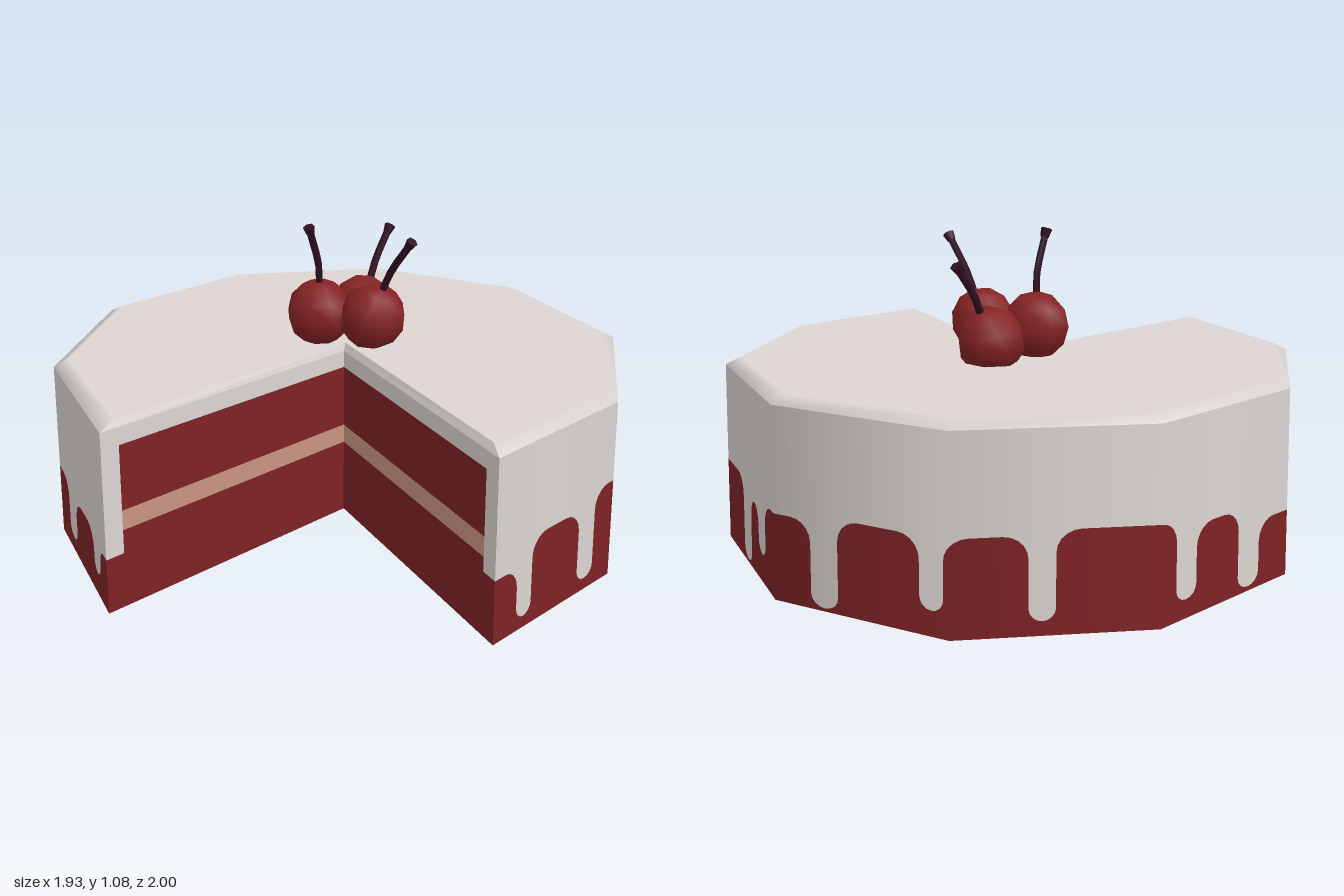
import * as THREE from 'three';

const mat = (name, color) => Object.assign(new THREE.MeshStandardMaterial({ color }), { name });

// Outline of the ten-sided cake with two sides cut away, plus the inner point of the cut
const RING = [[0.02, 0.995], [0.595, 0.81], [0.965, 0.31], [0.965, -0.31], [0.59, -0.81],
  [0, -1], [-0.59, -0.808], [-0.95, -0.305], [-0.968, 0.305]];
const APEX = [0.015, 0];
const WALL = 0.62, TOP = 0.645;

// Icing drips: start and end along the outline (in sides), lowest height
const DRIPS = [[0.18, 0.3, 0.04], [0.7, 0.84, 0.04], [1.59, 1.73, 0.07], [2.36, 2.52, 0.01],
  [2.68, 2.82, 0.095], [3.22, 3.38, 0.01], [3.84, 3.97, 0.08], [4.37, 4.5, 0.045],
  [5.11, 5.26, 0.06], [5.59, 5.76, 0.015], [6.35, 6.48, 0.03], [7.2, 7.36, 0.05], [7.74, 7.86, 0.08]];
// Height of each arch between the drips
const ARCHES = [0.22, 0.3, 0.345, 0.285, 0.24, 0.28, 0.3, 0.305, 0.32, 0.28, 0.22, 0.25, 0.22, 0.19];

// Point on the wall, with a soft outward normal
function wallPoint(s, y) {
  const i = Math.min(7, Math.floor(s)), f = s - i, k = 1 - 0.015 * y / WALL;
  const x = RING[i][0] * (1 - f) + RING[i + 1][0] * f;
  const z = RING[i][1] * (1 - f) + RING[i + 1][1] * f;
  const l = Math.hypot(x, z);
  return { p: [x * k, y, z * k], n: [x / l, 0, z / l] };
}

// Mesh from quads; corners without normals are shaded flat
function quadMesh(name, material, quads) {
  const pos = [], nor = [];
  for (const q of quads) {
    for (const tri of [[0, 1, 2], [0, 2, 3]]) {
      const c = tri.map((i) => q[i]);
      const [a, b, d] = c.map((v) => new THREE.Vector3(...v.p));
      const flat = b.sub(a).cross(d.sub(a));
      if (flat.length() < 1e-9) continue;
      flat.normalize();
      for (const v of c) {
        pos.push(...v.p);
        nor.push(...(v.n || flat.toArray()));
      }
    }
  }
  const g = new THREE.BufferGeometry();
  g.setAttribute('position', new THREE.Float32BufferAttribute(pos, 3));
  g.setAttribute('normal', new THREE.Float32BufferAttribute(nor, 3));
  const mesh = new THREE.Mesh(g, material);
  mesh.name = name;
  return mesh;
}

// Lower edge of the icing: rounded arches and round-ended drips
function dripLine() {
  const pts = [];
  ARCHES.forEach((h, i) => {
    const left = i ? DRIPS[i - 1][1] : 0;
    const right = i < DRIPS.length ? DRIPS[i][0] : 8;
    const rx = Math.min(0.12, (right - left) / 2), ry = 0.07;
    for (let j = 0; j <= 5; j++) {
      const a = j / 5 * Math.PI / 2;
      pts.push(i ? [left + rx * (1 - Math.cos(a)), h - ry * (1 - Math.sin(a))] : [0, h]);
    }
    if (i === DRIPS.length) return void pts.push([8, h]);
    for (let j = 0; j <= 5; j++) {
      const a = j / 5 * Math.PI / 2;
      pts.push([right - rx * (1 - Math.sin(a)), h - ry * (1 - Math.cos(a))]);
    }
    const [s0, s1, low] = DRIPS[i], r = (s1 - s0) / 2;
    for (let j = 0; j <= 8; j++) {
      const a = j / 8 * Math.PI;
      pts.push([s0 + r * (1 - Math.cos(a)), low + 0.04 * (1 - Math.sin(a))]);
    }
  });
  // Add a point wherever the line turns a corner of the cake
  const out = [pts[0]];
  for (let i = 1; i < pts.length; i++) {
    const [s0, y0] = pts[i - 1], [s1, y1] = pts[i], k = Math.floor(s0) + 1;
    if (k < s1 - 1e-6) out.push([k, y0 + (y1 - y0) * (k - s0) / (s1 - s0)]);
    out.push(pts[i]);
  }
  return out;
}

export function createModel() {
  const icing = mat('icing', 0xdcd5d2);
  const sponge = mat('sponge', 0x7e2225);
  const cream = mat('cream', 0xc8937f);
  const cherryRed = mat('cherry', 0x852224);
  const stemDark = mat('stem', 0x2f0f22);
  const model = new THREE.Group();
  model.name = 'cake';

  // Outer wall, split along the drip line
  const upper = [], lower = [], line = dripLine();
  for (let i = 1; i < line.length; i++) {
    const [s0, y0] = line[i - 1], [s1raw, y1] = line[i];
    if (s1raw - s0 < 1e-6) continue;
    // keep both ends on the same side of a corner
    const a = wallPoint(s0, y0), b = wallPoint(s1raw, y1);
    upper.push([a, b, wallPoint(s1raw, WALL), wallPoint(s0, WALL)]);
    lower.push([wallPoint(s0, 0), wallPoint(s1raw, 0), b, a]);
  }
  model.add(quadMesh('icingWall', icing, upper), quadMesh('spongeWall', sponge, lower));

  // Top icing with a soft bevel at the rim
  const outer = [{ p: [APEX[0], WALL, APEX[1]] }], inner = [{ p: [0.027, TOP, -0.012], n: [0, 1, 0] }];
  RING.forEach(([x, z], i) => {
    const o = wallPoint(i, WALL);
    o.n = [o.n[0] * 0.85, 0.53, o.n[2] * 0.85];
    outer.push(o);
    const p = i === 0 ? [0.034, TOP, 0.925] : i === 8 ? [-0.9, TOP, 0.272] : [x * 0.935, TOP, z * 0.935];
    inner.push({ p, n: [0, 1, 0] });
  });
  const bevel = [], top = [];
  for (let i = 0; i < 10; i++) {
    const j = (i + 1) % 10, q = [outer[i], outer[j], inner[j], inner[i]];
    const cut = i === 0 || i === 9;
    bevel.push(cut ? q.map((v) => ({ p: v.p })) : q);
    if (!cut) top.push([inner[0], inner[i], inner[j], inner[0]]);
  }
  model.add(quadMesh('icingRim', icing, bevel), quadMesh('icingTop', icing, top));

  // Underside
  const centre = { p: [APEX[0], 0, APEX[1]] };
  const base = RING.slice(1).map((_, i) =>
    [centre, { p: wallPoint(i + 1, 0).p }, { p: wallPoint(i, 0).p }, centre]);
  model.add(quadMesh('underside', sponge, base));

  // Two cut faces, showing the layers
  for (const [name, s, edge] of [['rightCut', 0, 0.22], ['leftCut', 8, 0.19]]) {
    const at = (t, y) => {
      const w = wallPoint(s, y).p;
      return { p: [APEX[0] + (w[0] - APEX[0]) * t, y, APEX[1] + (w[2] - APEX[1]) * t] };
    };
    const quad = (t0, y0, t1, y1) => {
      const [a, b] = s ? [t1, t0] : [t0, t1];
      return [at(a, y0), at(b, y0), at(b, y1), at(a, y1)];
    };
    const E = 0.935;
    model.add(
      quadMesh(name + 'Sponge', sponge, [quad(0, 0, 1, edge), quad(0, edge, E, 0.27), quad(0, 0.338, E, 0.56)]),
      quadMesh(name + 'Cream', cream, [quad(0, 0.27, E, 0.338)]),
      quadMesh(name + 'Icing', icing, [quad(E, edge, 1, 0.56), quad(0, 0.56, 1, WALL)]));
  }

  // Cherries with bent stems
  const cherries = [
    { c: [-0.035, 0.745, -0.09], stem: [[-0.04, 0.83, -0.085], [-0.045, 0.92, -0.075], [-0.09, 1.055, -0.05]] },
    { c: [0.105, 0.748, 0.04], stem: [[0.12, 0.83, 0.07], [0.14, 0.92, 0.105], [0.17, 1.03, 0.18]] },
    { c: [0.16, 0.718, -0.145], stem: [[0.195, 0.79, -0.16], [0.235, 0.88, -0.18], [0.305, 0.975, -0.215]] },
  ];
  for (const { c, stem } of cherries) {
    const group = new THREE.Group();
    group.name = 'cherry';
    const fruit = new THREE.Mesh(new THREE.SphereGeometry(0.118, 8, 6), cherryRed);
    fruit.name = 'fruit';
    fruit.position.set(...c);
    const pts = stem.map((p) => new THREE.Vector3(...p));
    const lean = pts[0].clone().sub(fruit.position).normalize();
    fruit.quaternion.setFromUnitVectors(new THREE.Vector3(0, 1, 0), lean);
    const stalk = new THREE.Mesh(new THREE.TubeGeometry(new THREE.CatmullRomCurve3(pts), 5, 0.013, 6), stemDark);
    stalk.name = 'stem';
    const tip = new THREE.Mesh(new THREE.CylinderGeometry(0.02, 0.014, 0.03, 6), stemDark);
    tip.name = 'stemTip';
    tip.position.copy(pts[2]);
    tip.quaternion.setFromUnitVectors(new THREE.Vector3(0, 1, 0), pts[2].clone().sub(pts[1]).normalize());
    group.add(fruit, stalk, tip);
    model.add(group);
  }
  return model;
}
